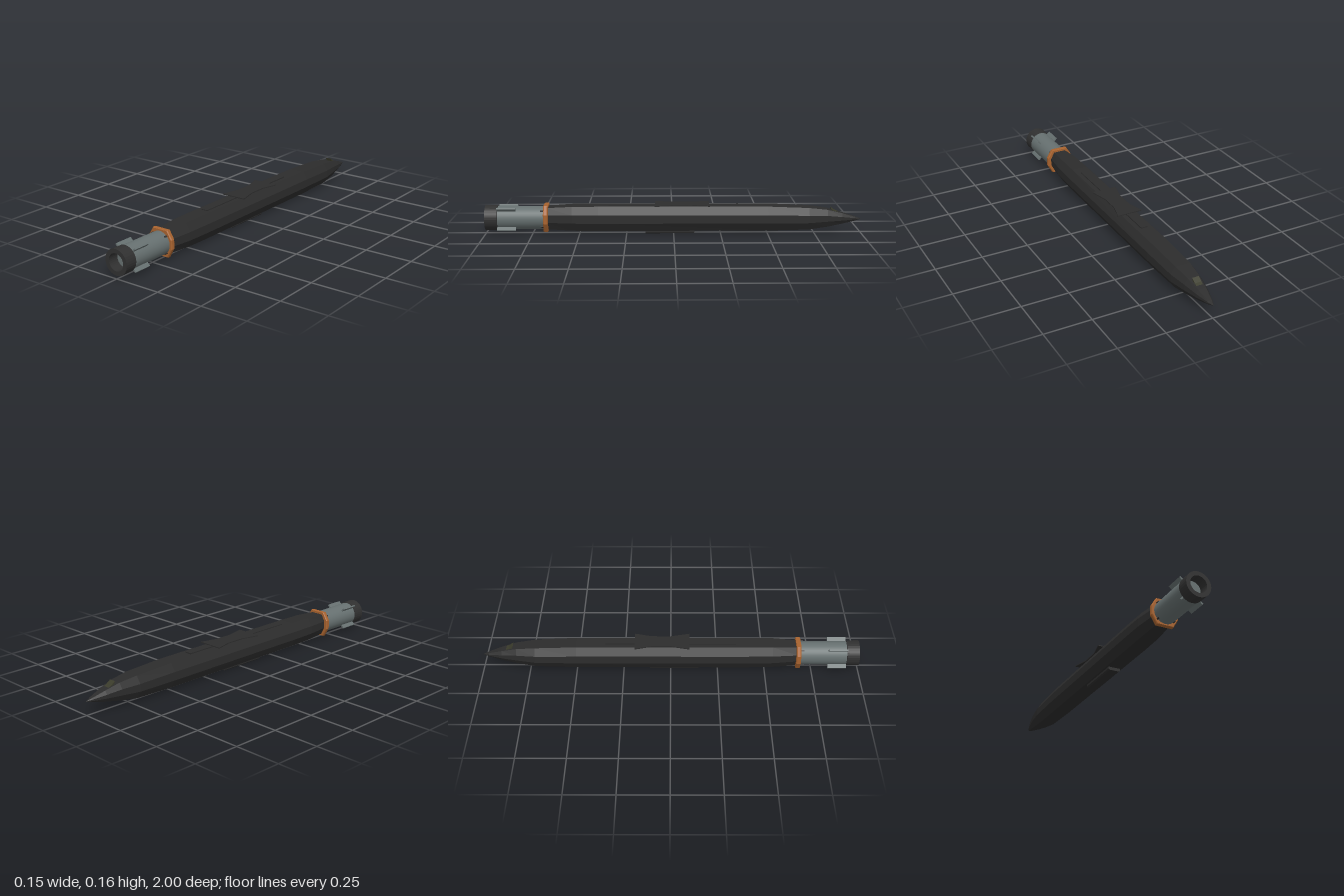
import * as THREE from 'three';

const mat = (name, color, extra = {}) => {
  const m = new THREE.MeshStandardMaterial({ color, ...extra });
  m.name = name;
  return m;
};

// Faceted loft through eight-sided sections: [z, halfWidth, yBottom, yTop], rear to nose
function loftOctagon(stations) {
  const unit = [[0.62, 0], [1, 0.34], [1, 0.68], [0.62, 1], [-0.62, 1], [-1, 0.68], [-1, 0.34], [-0.62, 0]];
  const rings = stations.map(([z, w, lo, hi]) => unit.map(([x, y]) => [x * w, lo + y * (hi - lo), z]));
  const pos = [];
  for (let s = 0; s < rings.length - 1; s++) {
    const a = rings[s], b = rings[s + 1];
    for (let i = 0; i < 8; i++) {
      const j = (i + 1) % 8;
      pos.push(...a[i], ...b[i], ...a[j], ...a[j], ...b[i], ...b[j]);
    }
  }
  const first = rings[0], last = rings[rings.length - 1];
  for (let i = 1; i < 7; i++) {
    pos.push(...first[0], ...first[i], ...first[i + 1]);
    pos.push(...last[0], ...last[i + 1], ...last[i]);
  }
  const g = new THREE.BufferGeometry();
  g.setAttribute('position', new THREE.Float32BufferAttribute(pos, 3));
  g.computeVertexNormals();
  return g;
}

export function createModel() {
  const group = new THREE.Group();
  const hull = mat('charcoal hull', 0x2c2c2c, { flatShading: true });
  const dark = mat('dark nozzle', 0x303030, { flatShading: true });
  const grey = mat('booster grey', 0x667070);
  const copper = mat('copper collar', 0xa8632f, { flatShading: true });
  const olive = mat('olive sensor', 0x3b3c2c, { flatShading: true });

  const add = (name, geometry, material, x = 0, y = 0, z = 0) => {
    const m = new THREE.Mesh(geometry, material);
    m.name = name;
    m.position.set(x, y, z);
    group.add(m);
    return m;
  };
  const axisY = 0.083;

  // Faceted body tapering to a low nose
  add('body', loftOctagon([
    [0.675, 0.054, 0.026, 0.14], [0.54, 0.068, 0.019, 0.148], [0.4, 0.07, 0.017, 0.149],
    [-0.5, 0.07, 0.017, 0.147], [-0.72, 0.065, 0.021, 0.138], [-0.82, 0.05, 0.034, 0.126],
    [-0.9, 0.034, 0.048, 0.105], [-0.97, 0.014, 0.062, 0.083], [-1, 0.001, 0.07, 0.072],
  ]), hull);

  // Collar between body and booster
  add('collar', loftOctagon([
    [0.69, 0.069, 0.016, 0.152], [0.685, 0.073, 0.013, 0.154],
    [0.67, 0.073, 0.013, 0.154], [0.665, 0.069, 0.016, 0.152],
  ]), copper);

  // Booster tube
  add('booster', new THREE.CylinderGeometry(0.063, 0.061, 0.27, 32).rotateX(Math.PI / 2), grey, 0, axisY, 0.805);

  // Hollow nozzle ring with a grey floor
  const ring = [[0.06, 0.932], [0.066, 0.934], [0.067, 1], [0.045, 1], [0.045, 0.942]];
  add('nozzle', new THREE.LatheGeometry(ring.map(([r, y]) => new THREE.Vector2(r, y)), 32)
    .rotateX(Math.PI / 2), dark, 0, axisY, 0);
  add('nozzleFloor', new THREE.CircleGeometry(0.046, 32), grey, 0, axisY, 0.943);

  // Four diagonal booster fins and small clamps behind the collar
  for (let i = 0; i < 4; i++) {
    const a = Math.PI / 4 + i * Math.PI / 2;
    const place = (mesh, r) => {
      mesh.position.x = Math.cos(a) * r;
      mesh.position.y = axisY + Math.sin(a) * r;
      mesh.rotation.z = a;
    };
    place(add('boosterFin', new THREE.BoxGeometry(0.026, 0.008, 0.1), grey, 0, 0, 0.885), 0.071);
    place(add('clamp', new THREE.BoxGeometry(0.008, 0.008, 0.02), dark, 0, 0, 0.697), 0.061);
  }

  // Dorsal rail
  add('dorsalRail', new THREE.BoxGeometry(0.036, 0.012, 0.69), hull, 0, 0.147, 0);

  // Folded wing plate with waisted sides
  const outline = [[0.069, -0.19], [0.045, -0.1], [0.045, 0], [0.069, 0.1]];
  const wing = new THREE.Shape([
    ...outline, ...outline.slice().reverse().map(([x, z]) => [-x, z]),
  ].map(([x, z]) => new THREE.Vector2(x, z)));
  add('foldedWings', new THREE.ExtrudeGeometry(wing, { depth: 0.005, bevelEnabled: false })
    .rotateX(Math.PI / 2), hull, 0, 0.157, 0);

  // Belly fairing with chamfered lower corners
  const belly = new THREE.Shape([[-0.033, 0.025], [-0.033, 0.006], [-0.027, 0], [0.027, 0], [0.033, 0.006], [0.033, 0.025]]
    .map(([x, y]) => new THREE.Vector2(x, y)));
  add('bellyFairing', new THREE.ExtrudeGeometry(belly, { depth: 0.26, bevelEnabled: false }), hull, 0, 0, -0.11);

  // Small raked sensor wedge on the nose
  const wedge = new THREE.Shape([[0.9, 0.1], [0.862, 0.118], [0.838, 0.135], [0.848, 0.11]]
    .map(([x, y]) => new THREE.Vector2(x, y)));
  add('noseSensor', new THREE.ExtrudeGeometry(wedge, { depth: 0.036, bevelEnabled: false })
    .rotateY(Math.PI / 2), olive, -0.018, 0, 0);

  return group;
}
